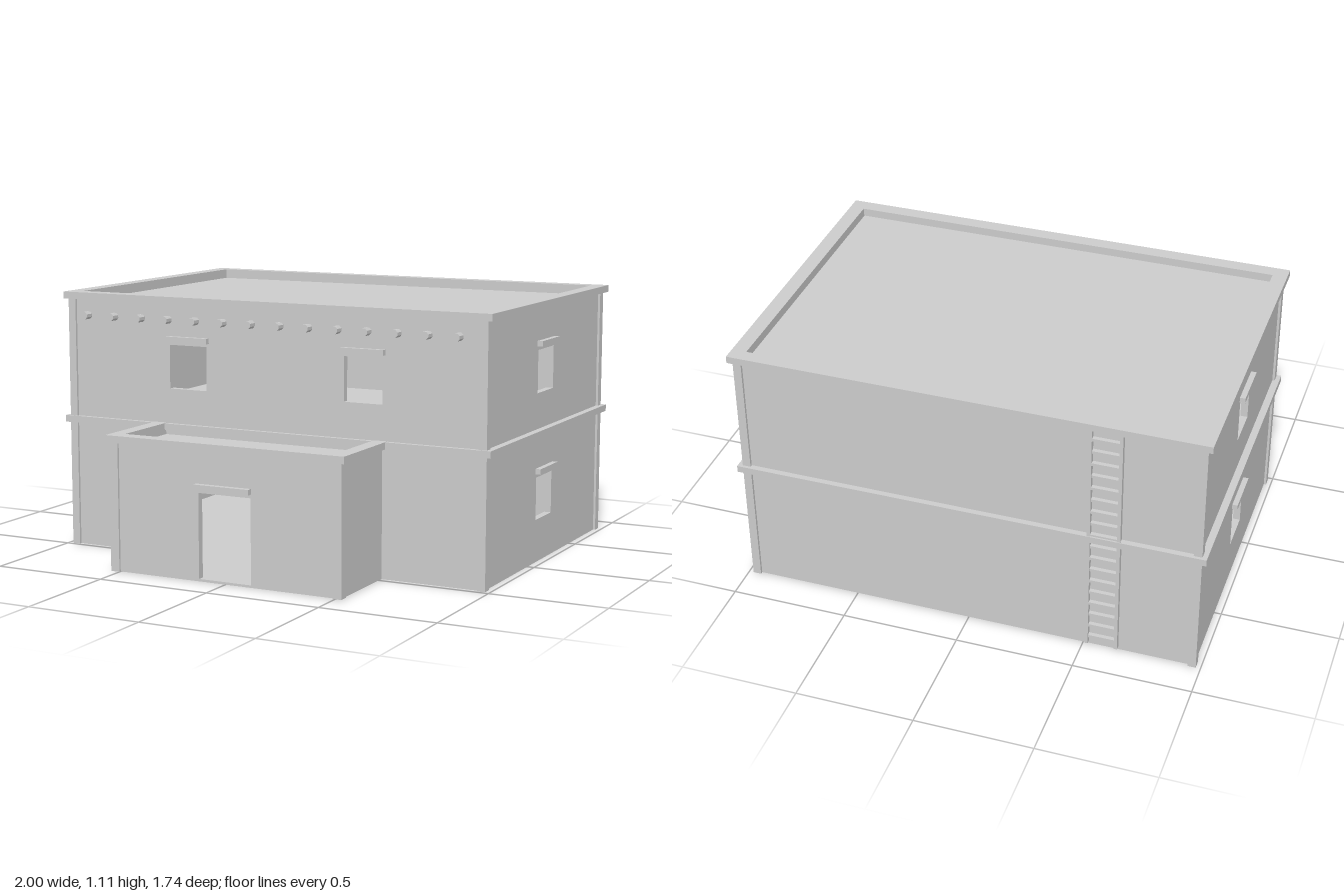
import * as THREE from 'three';

const T = 0.03; // wall thickness
const MAIN = [-0.97, 0.97, -0.845, 0.475]; // x0, x1, z0, z1 of the outer wall faces
const PORCH = [-0.53, 0.52, 0.475, 0.847];

export function createModel() {
  const group = new THREE.Group();
  const material = new THREE.MeshStandardMaterial({ color: 0xcccccc, flatShading: true });

  const add = (name, geometry, x = 0, y = 0, z = 0) => {
    const mesh = new THREE.Mesh(geometry, material);
    mesh.name = name;
    mesh.position.set(x, y, z);
    group.add(mesh);
    return mesh;
  };

  // Box given by its limits
  const block = (name, x0, x1, y0, y1, z0, z1) =>
    add(name, new THREE.BoxGeometry(x1 - x0, y1 - y0, z1 - z0),
      (x0 + x1) / 2, (y0 + y1) / 2, (z0 + z1) / 2);

  const rect = (Type, a0, a1, b0, b1) => new Type([
    [a0, b0], [a1, b0], [a1, b1], [a0, b1]].map(p => new THREE.Vector2(...p)));

  // Upright panel with rectangular openings [a0, a1, y0, y1]
  const panel = (a0, a1, y0, y1, openings) => {
    const shape = rect(THREE.Shape, a0, a1, y0, y1);
    for (const o of openings) shape.holes.push(rect(THREE.Path, ...o));
    return new THREE.ExtrudeGeometry(shape, { depth: T, bevelEnabled: false });
  };
  const wallX = (name, z, ...args) => add(name, panel(...args), 0, 0, z);
  const wallZ = (name, x, ...args) => {
    add(name, panel(...args), x, 0, 0).rotation.y = -Math.PI / 2;
  };

  // Flat plan shape extruded downward from y1 to y0
  const flat = (name, shape, y0, y1) => {
    const g = new THREE.ExtrudeGeometry(shape, { depth: y1 - y0, bevelEnabled: false });
    add(name, g, 0, y1, 0).rotation.x = Math.PI / 2;
  };
  const frame = (name, outer, inner, y0, y1) => {
    const shape = rect(THREE.Shape, ...outer);
    shape.holes.push(rect(THREE.Path, ...inner));
    flat(name, shape, y0, y1);
  };

  const [x0, x1, z0, z1] = MAIN;
  const [px0, px1, pz0, pz1] = PORCH;

  // Walls of the main building; the porch opens fully into the ground floor
  const door = [-0.123, 0.118, 0.01, 0.366];
  const porchOpening = [px0 + T, px1 - T, 0.01, 0.5];
  const frontWindows = [[-0.477, -0.298, 0.72, 0.907], [0.347, 0.52, 0.72, 0.907]];
  const sideWindows = [[0.183, 0.365], [0.723, 0.905]];
  wallX('frontWall', z1 - T, x0, x1, 0, 1.09, [porchOpening, ...frontWindows]);
  wallX('backWall', z0, x0, x1, 0, 1.09, []);
  wallZ('leftWall', x1, z0 + T, z1 - T, 0, 1.09, sideWindows.map(w => [-0.266, -0.086, ...w]));
  wallZ('rightWall', x0 + T, z0 + T, z1 - T, 0, 1.09, sideWindows.map(w => [-0.259, -0.08, ...w]));

  // Floors and roof
  block('groundFloor', x0 + T, x1 - T, 0, 0.01, z0 + T, z1);
  block('upperFloor', x0 + T, x1 - T, 0.545, 0.57, z0 + T, z1 - T);
  block('roof', x0 + T, x1 - T, 1.05, 1.07, z0 + T, z1 - T);

  // Bands around the building
  const band = [-1, 1, -0.87, 0.495];
  frame('storeyBand', band, MAIN, 0.542, 0.571);
  frame('cornice', band, [-0.937, 0.937, -0.812, 0.433], 1.082, 1.112);

  // Corner posts, standing slightly proud of the walls
  for (const x of [-0.98, 0.945])
    for (const z of [-0.857, 0.447])
      block('cornerPost', x, x + 0.035, 0, 1.085, z, z + 0.039);

  // Porch
  wallX('porchFrontWall', pz1 - T, px0, px1, 0, 0.545, [door]);
  wallZ('porchRightWall', px0 + T, pz0, pz1 - T, 0, 0.545, []);
  wallZ('porchLeftWall', px1, pz0, pz1 - T, 0, 0.545, []);
  block('porchFloor', px0 + T, px1 - T, 0, 0.01, pz0, pz1 - T);
  block('porchRoof', px0 + T, px1 - T, 0.5, 0.522, pz0, pz1 - T);
  flat('porchCornice', new THREE.Shape([
    [-0.555, pz0], [-0.495, pz0], [-0.495, 0.803], [0.482, 0.803],
    [0.482, pz0], [0.543, pz0], [0.543, 0.865], [-0.555, 0.865],
  ].map(p => new THREE.Vector2(...p))), 0.542, 0.572);
  for (const x of [-0.54, 0.488])
    block('porchPost', x, x + 0.04, 0, 0.545, 0.817, 0.857);

  // Lintels over the openings
  block('doorLintel', -0.133, 0.12, 0.381, 0.404, pz1 - 0.01, 0.872);
  for (const [a, b] of frontWindows)
    block('frontLintel', a - 0.01, b + 0.012, 0.921, 0.944, z1 - 0.01, 0.496);
  for (const y of [0.381, 0.921]) {
    block('leftLintel', x1 - 0.01, 0.993, y, y + 0.023, -0.278, -0.076);
    block('rightLintel', -0.993, x0 + 0.01, y, y + 0.023, -0.272, -0.07);
  }

  // Row of beam ends below the roof
  const beam = new THREE.CylinderGeometry(0.017, 0.017, 0.06, 8)
    .rotateY(Math.PI / 8).rotateX(Math.PI / 2);
  for (let i = 0; i < 14; i++) add('beamEnd', beam, -0.883 + i * 0.1337, 1.014, 0.485);

  // Ladder on the back wall
  for (const x of [-0.65, -0.525])
    block('ladderRail', x, x + 0.014, 0.015, 1.085, -0.867, z0 + 0.005);
  for (let i = 0; i < 18; i++) {
    const y = 0.045 + i * 0.058;
    block('ladderRung', -0.64, -0.52, y, y + 0.012, -0.863, z0 + 0.005);
  }

  return group;
}
